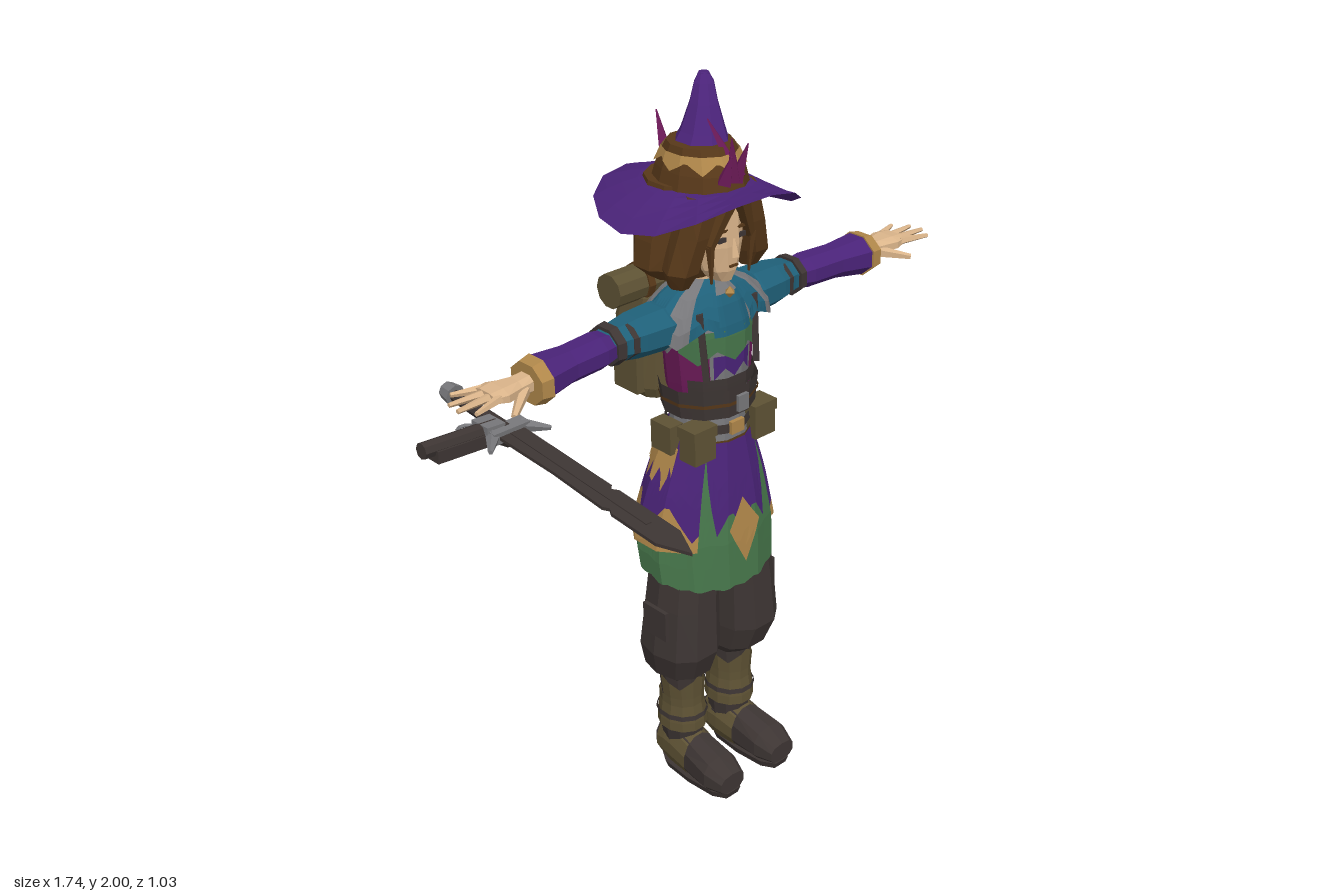
import * as THREE from 'three';

const mat = (name, color) => Object.assign(new THREE.MeshStandardMaterial({ color, side: THREE.DoubleSide }), { name });
const rad = Math.PI / 180;
const V = (a) => new THREE.Vector3(...a);
const lerp = THREE.MathUtils.lerp;
// triangle wave 0..1..0 over a period
const tri = (a, period) => 1 - Math.abs(((((a / period) % 1) + 1) % 1) * 2 - 1);
// cyclic axis swaps keep the winding
const turn = { y: (p) => p, x: ([x, y, z]) => [y, z, x], z: ([x, y, z]) => [z, x, y] };

// faceted grid: u runs to the right, v runs up, seen from outside
function grid(fn, nu, nv) {
  const out = [];
  const push = (a, b, c) => {
    const area = V(b).sub(V(a)).cross(V(c).sub(V(a))).length();
    if (area > 1e-9) out.push(...a, ...b, ...c);
  };
  for (let i = 0; i < nu; i++) for (let j = 0; j < nv; j++) {
    const a = fn(i, j), b = fn(i + 1, j), c = fn(i + 1, j + 1), d = fn(i, j + 1);
    push(a, b, c); push(a, c, d);
  }
  return new THREE.BufferGeometry().setAttribute('position', new THREE.Float32BufferAttribute(out, 3));
}
// ring corner; ring = [height, centre1, centre2, radius1, radius2]
function corner([t, cx, cz, rx, rz], ang, p = 1, off = 0) {
  const pw = (v) => Math.sign(v) * Math.abs(v) ** p;
  return [cx + (rx + off) * pw(Math.sin(ang)), t, cz + (rz + off) * pw(Math.cos(ang))];
}
// closed solid through rings
function loft(rings, N = 10, p = 1, axis = 'y') {
  const end = (r) => [r[0], r[1], r[2], 0, 0];
  const all = [end(rings[0]), ...rings, end(rings[rings.length - 1])];
  return grid((i, j) => turn[axis](corner(all[j], ((i % N) + 0.5) / N * 2 * Math.PI, p)), N, all.length - 1);
}
// painted strip lying on a ring surface, between two height rules
function band(rings, a0, a1, lo, hi, off = 0.005, axis = 'y', N = 12, rows = 4) {
  const val = (f, a) => (typeof f === 'function' ? f(a) : f);
  const n = Math.max(1, Math.round((a1 - a0) / 5));
  return grid((i, j) => {
    const a = a0 + (a1 - a0) * i / n, t = lerp(val(lo, a), val(hi, a), j / rows);
    let k = 0;
    while (k < rings.length - 2 && t > rings[k + 1][0]) k++;
    const f = (t - rings[k][0]) / (rings[k + 1][0] - rings[k][0]);
    const ring = rings[k].map((v, m) => lerp(v, rings[k + 1][m], f));
    const step = 360 / N, s = (a - step / 2) / step, q = Math.floor(s + 1e-6);
    const c0 = corner(ring, (q + 0.5) * step * rad, 1, off), c1 = corner(ring, (q + 1.5) * step * rad, 1, off);
    return turn[axis](c0.map((v, m) => lerp(v, c1[m], s - q)));
  }, n, rows);
}
function rod(p, q, r0, r1, n = 6) {
  const d = V(q).sub(V(p)), g = new THREE.CylinderGeometry(r1, r0, d.length(), n);
  g.applyQuaternion(new THREE.Quaternion().setFromUnitVectors(V([0, 1, 0]), d.clone().normalize()));
  return g.translate(...V(p).addScaledVector(d, 0).add(V(q)).multiplyScalar(0.5).toArray());
}
const box = (w, h, d, x, y, z) => new THREE.BoxGeometry(w, h, d).translate(x, y, z);
function plate(points, depth) {
  const s = new THREE.Shape(points.map(([x, y]) => new THREE.Vector2(x, y)));
  return new THREE.ExtrudeGeometry(s, { depth, bevelEnabled: false }).translate(0, 0, -depth / 2);
}
function add(parent, name, geo, material, mirror = false) {
  const g = geo.index ? geo.toNonIndexed() : geo;
  g.computeVertexNormals();
  const m = new THREE.Mesh(g, material);
  m.name = name;
  parent.add(m);
  if (!mirror) return;
  const h = g.clone().scale(-1, 1, 1), P = h.attributes.position;
  for (let i = 0; i < P.count; i += 3) {
    const a = [P.getX(i), P.getY(i), P.getZ(i)];
    P.setXYZ(i, P.getX(i + 1), P.getY(i + 1), P.getZ(i + 1));
    P.setXYZ(i + 1, ...a);
  }
  add(parent, name + 'Right', h, material);
}

export function createModel() {
  const purple = mat('purple cloth', 0x4a2378), teal = mat('teal cloth', 0x1f6079), green = mat('green cloth', 0x47774b);
  const gold = mat('gold trim', 0xb0874a), brown = mat('brown hair and leather', 0x573819), olive = mat('olive canvas', 0x5e5234);
  const dark = mat('dark leather', 0x3d3533), grey = mat('grey metal and cloth', 0x77777a), skin = mat('skin', 0xdab48a), magenta = mat('magenta cloth', 0x6c1a58);
  const root = new THREE.Group(), body = new THREE.Group();
  body.name = 'figure';
  body.position.x = 0.065;
  root.add(body);
  const put = (...a) => add(body, ...a);

  // boots, gaiters and baggy trousers
  const foot = [[-0.31, 0.075, 0.09, 0.05, 0.045], [-0.25, 0.08, 0.09, 0.08, 0.055], [-0.17, 0.068, 0.095, 0.066, 0.055],
    [-0.08, 0.06, 0.1, 0.052, 0.062], [-0.025, 0.05, 0.1, 0.03, 0.045]];
  put('boot', loft(foot, 10, 0.75, 'z'), dark, true);
  put('sole', loft([[0, 0.097, -0.16, 0.05, 0.135], [0.022, 0.097, -0.16, 0.057, 0.143]], 10, 0.7), dark, true);
  put('heelGuard', band(foot, 0, 360, -0.3, -0.17, 0.006, 'z'), olive, true);
  const shin = [[0.1, 0.09, -0.24, 0.054, 0.06], [0.17, 0.093, -0.24, 0.062, 0.07], [0.25, 0.093, -0.24, 0.052, 0.06], [0.36, 0.095, -0.24, 0.062, 0.068]];
  put('shin', loft(shin), dark, true);
  put('gaiter', band(shin, 0, 360, 0.16, 0.27, 0.007), olive, true);
  put('gaiterFront', band(shin, -100, 100, 0.26, (a) => 0.345 - 0.04 * tri(a, 100), 0.007), olive, true);
  put('gaiterStrap', band(shin, 0, 360, 0.2, 0.215, 0.012), dark, true);
  const pants = [[0.34, 0.097, -0.24, 0.06, 0.062], [0.37, 0.105, -0.235, 0.085, 0.098], [0.45, 0.112, -0.22, 0.1, 0.115],
    [0.6, 0.105, -0.215, 0.092, 0.103], [0.8, 0.085, -0.215, 0.082, 0.092]];
  put('trouserLeg', loft(pants, 10, 0.85), dark, true);
  put('trouserPatch', band(pants.map(([t, x, ...r]) => [t, -x, ...r]), 160, 200, 0.58, 0.66, 0.012), grey);
  put('trouserPocket', box(0.012, 0.09, 0.09, 0.203, 0.56, -0.215), dark, true);

  // green underskirt, purple overskirt with pointed gold hem
  const skirt = [[0.64, 0, -0.225, 0.204, 0.152], [0.8, 0, -0.242, 0.212, 0.164], [0.95, 0, -0.23, 0.172, 0.137], [1.1, 0, -0.22, 0.115, 0.107]];
  put('underskirt', band(skirt, 0, 360, (a) => 0.695 - 0.04 * Math.cos(a * rad) + 0.008 * tri(a, 20), 1.08, 0, 'y', 12, 6), green);
  const hem = (a) => 0.825 + 0.1 * tri(a - 40, 55);
  put('overskirt', band(skirt, 40, 320, hem, 1.1, 0.006, 'y', 12, 6), purple);
  put('goldHem', band(skirt, 40, 320, 0.795, hem, 0.006), gold);
  put('frontPanel', band(skirt, -25, 25, (a) => 0.83 + 0.07 * tri(a, 25), 1.09, 0.006), purple);
  put('frontPanelSide', band(skirt, 25, 40, (a) => lerp(0.83, 1.06, (a - 25) / 15), 1.09, 0.006), purple, true);
  put('frontGoldDrop', band(skirt, -15, 15, (a) => 0.73 + Math.abs(a) * 0.0075, (a) => 0.925 - Math.abs(a) * 0.0055, 0.01), gold);
  put('hipSash', band(skirt, 75, 285, (a) => 1.0 + 0.035 * tri(a, 15), 1.075, 0.011), gold);
  put('hipLeaf', band(skirt, 80, 130, (a) => 0.955 + 0.07 * tri(a, 17), 1.04, 0.012), gold, true);

  // torso and its coloured panels
  const torso = [[1.06, 0, -0.22, 0.115, 0.105], [1.15, 0, -0.215, 0.1, 0.092], [1.25, 0, -0.215, 0.113, 0.098],
    [1.4, 0, -0.215, 0.128, 0.1], [1.48, 0, -0.22, 0.105, 0.08], [1.51, 0, -0.22, 0.06, 0.055]];
  put('torso', loft(torso, 12), grey);
  put('chestGreen', band(torso, -75, 75, (a) => 1.315 + 0.035 * tri(a, 50), 1.405, 0.008), green);
  put('collarFront', band(torso, -28, 28, 1.39, 1.49, 0.01), teal);
  put('vestSide', band(torso, 35, 140, 1.22, (a) => 1.37 - 0.04 * tri(a, 40), 0.006), magenta, true);
  put('vestFront', band(torso, -30, 30, (a) => 1.27 + 0.03 * tri(a, 30), 1.335, 0.006), purple);
  put('vestBack', band(torso, 140, 220, 1.22, 1.47, 0.005), teal);
  put('corset', band(torso, 0, 360, 1.165, 1.245, 0.026), dark);
  put('corsetTop', band(torso, -65, 65, 1.235, 1.275, 0.014), dark);
  put('corsetTrim', band(torso, 0, 360, 1.2, 1.21, 0.03), brown);
  put('waistBelt', band(torso, 0, 360, 1.115, 1.14, 0.014), dark);
  put('hipBelt', band(torso, 0, 360, 1.055, 1.095, 0.012), brown);
  put('buckle', box(0.045, 0.035, 0.012, 0, 1.128, -0.107), gold);
  put('corsetBuckle', box(0.035, 0.045, 0.01, 0, 1.205, -0.085), grey);
  put('pouch', box(0.072, 0.075, 0.06, 0.108, 1.095, -0.14), olive, true);
  put('pouchFlap', box(0.08, 0.03, 0.066, 0.108, 1.14, -0.14), olive, true);
  put('sidePouch', box(0.045, 0.08, 0.075, 0.128, 1.1, -0.235), olive, true);
  put('packStrap', rod([0.088, 1.28, -0.125], [0.095, 1.46, -0.14], 0.012, 0.012, 4), dark, true);

  // capelet in teal and grey sectors
  const cape = [[1.36, 0, -0.225, 0.225, 0.12], [1.43, 0, -0.225, 0.205, 0.118], [1.485, 0, -0.225, 0.15, 0.09], [1.525, 0, -0.225, 0.06, 0.058]];
  const capeLow = (a) => 1.38 + 0.04 * tri(a, 50);
  [[15, 40, teal], [40, 65, grey], [65, 115, teal], [115, 140, grey], [140, 180, teal]].forEach(([a, b, m], i) =>
    put('capeletPanel' + i, band(cape, a, b, capeLow, 1.525, 0), m, true));
  put('capeClasp', new THREE.OctahedronGeometry(0.016).translate(0, 1.495, -0.13), gold);

  // arms, sleeves, cuffs
  put('upperArm', loft([[0.08, -0.23, 1.42, 0.06, 0.05], [0.16, -0.23, 1.42, 0.075, 0.062], [0.24, -0.232, 1.42, 0.068, 0.058], [0.29, -0.232, 1.42, 0.055, 0.05],
    [0.34, -0.23, 1.42, 0.05, 0.04]], 8, 1, 'x'), teal, true);
  for (const x of [0.265, 0.315]) put('armStrap', loft([[x - 0.012, -0.232, 1.42, 0.064, 0.055], [x + 0.012, -0.232, 1.42, 0.06, 0.052]], 8, 1, 'x'), dark, true);
  put('sleeve', loft([[0.325, -0.228, 1.42, 0.048, 0.04], [0.36, -0.226, 1.42, 0.056, 0.046], [0.46, -0.216, 1.42, 0.052, 0.046], [0.56, -0.207, 1.418, 0.066, 0.058]], 8, 1, 'x'), purple, true);
  put('cuff', loft([[0.552, -0.207, 1.418, 0.07, 0.061], [0.585, -0.205, 1.418, 0.064, 0.054]], 8, 1, 'x'), gold, true);
  put('palm', loft([[0.57, -0.208, 1.42, 0.03, 0.026], [0.62, -0.206, 1.42, 0.034, 0.022], [0.67, -0.205, 1.424, 0.05, 0.02], [0.705, -0.205, 1.427, 0.044, 0.013]], 8, 0.8, 'x'), skin, true);
  for (let i = 0; i < 4; i++) {
    const s = i - 1.5, len = [0.76, 0.793, 0.798, 0.775][i];
    put('finger', rod([0.69, 1.427, -0.205 + s * 0.023], [len, 1.428, -0.203 + s * 0.04], 0.012, 0.006, 5), skin, true);
  }
  put('thumb', rod([0.61, 1.415, -0.185], [0.685, 1.395, -0.125], 0.017, 0.008, 5), skin, true);

  // head, face and bobbed hair
  put('neck', rod([0, 1.47, -0.23], [0, 1.57, -0.23], 0.042, 0.04, 8), skin);
  const head = [[1.525, 0, -0.17, 0.025, 0.04], [1.555, 0, -0.185, 0.052, 0.066], [1.62, 0, -0.2, 0.075, 0.086], [1.75, 0, -0.21, 0.08, 0.09]];
  put('head', loft(head, 12), skin);
  put('nose', rod([0, 1.595, -0.108], [0, 1.64, -0.114], 0.012, 0.004, 4), skin);
  put('eye', box(0.026, 0.012, 0.006, 0.032, 1.642, -0.122), dark, true);
  put('brow', box(0.034, 0.007, 0.006, 0.033, 1.664, -0.122), brown, true);
  put('mouth', box(0.026, 0.005, 0.006, 0, 1.57, -0.116), brown);
  put('hair', loft([[1.525, 0, -0.275, 0.125, 0.085], [1.56, 0, -0.28, 0.165, 0.11], [1.63, 0, -0.28, 0.155, 0.115], [1.77, 0, -0.27, 0.115, 0.115]], 12), brown);
  put('hairLock', loft([[1.525, 0.118, -0.19, 0.022, 0.03], [1.57, 0.12, -0.18, 0.042, 0.05], [1.66, 0.095, -0.17, 0.04, 0.055], [1.76, 0.06, -0.16, 0.05, 0.05]], 6), brown, true);
  put('fringe', rod([0.02, 1.745, -0.112], [0.07, 1.63, -0.128], 0.024, 0.012, 5), brown, true);
  put('strand', rod([0.07, 1.64, -0.125], [0.064, 1.535, -0.128], 0.012, 0.003, 4), brown, true);

  // pointed hat: drooping brim, leather crown, bent cone
  const brim = grid((i, j) => {
    const a = i / 16 * 2 * Math.PI, t = j / 4, s = Math.sin(a), c = Math.cos(a), x = s * lerp(0.25, 0.1, t), k = (1 - t) ** 1.5;
    return [x + 0.004, 1.765 + k * (c * c * (c > 0 ? 0.02 : -0.035) - s * s * 0.1) - 0.07 * x * (1 - t), -0.25 + c * lerp(0.265, 0.12, t)];
  }, 16, 4);
  put('hatBrim', brim, purple);
  const crown = [[1.745, 0.004, -0.238, 0.115, 0.138], [1.8, 0.006, -0.238, 0.102, 0.122], [1.86, 0.008, -0.24, 0.08, 0.088]];
  put('hatCrown', loft(crown, 12), brown);
  put('hatBand', band(crown, 0, 360, (a) => 1.805 + 0.025 * tri(a, 45), 1.845, 0.006), gold);
  put('hatCone', loft([[1.83, 0.008, -0.24, 0.082, 0.085], [1.88, 0.025, -0.248, 0.058, 0.06], [1.94, 0.045, -0.265, 0.036, 0.038],
    [1.98, 0.065, -0.285, 0.026, 0.026], [2, 0.078, -0.3, 0.013, 0.012]], 8), purple);
  put('hatTip', rod([0.07, 1.98, -0.285], [0.115, 1.965, -0.362], 0.022, 0.003, 6), purple);
  [[-0.02, 1.9, -0.1, 0], [0.015, 1.885, -0.08, 0.01], [0, 1.92, -0.205, 0.02], [-0.03, 1.86, -0.09, -0.03], [0.005, 1.9, -0.395, 0]].forEach(([x, y, z, bx], i) =>
    put('hatFeather' + i, rod([bx, 1.79, z < -0.3 ? -0.355 : -0.115], [x, y, z], 0.022, 0.002, 4), magenta));

  // backpack and bedroll
  put('pack', loft([[1.17, 0, -0.365, 0.115, 0.07], [1.2, 0, -0.37, 0.128, 0.085], [1.4, 0, -0.365, 0.122, 0.08], [1.46, 0, -0.36, 0.1, 0.06]], 12, 0.5), olive);
  put('packFlap', loft([[1.37, 0, -0.372, 0.13, 0.088], [1.45, 0, -0.365, 0.118, 0.074]], 12, 0.5), olive);
  put('packPocket', box(0.15, 0.12, 0.04, 0, 1.265, -0.458), olive);
  put('packPocketFlap', box(0.16, 0.04, 0.046, 0, 1.325, -0.458), olive);
  put('packSidePocket', box(0.035, 0.12, 0.09, 0.13, 1.25, -0.37), olive, true);
  put('packBuckle', box(0.018, 0.16, 0.008, 0.06, 1.38, -0.46), brown, true);
  put('bedroll', rod([-0.2, 1.485, -0.36], [0.2, 1.485, -0.36], 0.046, 0.046, 10), olive);
  put('bedrollStrap', rod([0.085, 1.485, -0.36], [0.105, 1.485, -0.36], 0.051, 0.051, 10), brown, true);

  // notched sword, lying forward
  const sword = new THREE.Group();
  sword.name = 'sword';
  sword.position.set(-0.66, 1.385, -0.1);
  sword.rotation.x = 0.09;
  root.add(sword);
  const edge = [[-0.035, 0], [0.035, 0], [0.035, 0.32], [0.024, 0.33], [0.035, 0.345], [0.035, 0.54], [0, 0.615], [-0.035, 0.54], [-0.035, 0.4], [-0.026, 0.385], [-0.035, 0.37], [-0.03, 0.2]];
  add(sword, 'blade', plate(edge, 0.008).rotateX(Math.PI / 2), dark);
  add(sword, 'fuller', box(0.014, 0.013, 0.46, 0, 0, 0.25), dark);
  add(sword, 'guard', box(0.1, 0.03, 0.035, 0, 0, 0), grey);
  add(sword, 'guardArm', rod([0.04, 0, 0], [0.085, 0, 0.05], 0.018, 0.006, 5), grey, true);
  add(sword, 'grip', rod([0, 0, -0.2], [0, 0, 0], 0.015, 0.018, 8), dark);
  add(sword, 'pommel', rod([0, 0, -0.23], [0, 0, -0.195], 0.022, 0.027, 8), grey);

  // flintlock pistol, pointing outward
  const pistol = new THREE.Group();
  pistol.name = 'pistol';
  pistol.position.set(-0.75, 1.385, -0.13);
  pistol.rotation.z = -0.06;
  root.add(pistol);
  add(pistol, 'barrel', rod([-0.122, 0.008, 0], [0.08, 0.008, 0], 0.02, 0.02, 8), dark);
  add(pistol, 'stock', box(0.17, 0.03, 0.05, -0.01, -0.008, 0), dark);
  add(pistol, 'lock', box(0.05, 0.03, 0.06, 0.06, 0.012, 0), grey);
  add(pistol, 'pistolGrip', rod([0.07, 0, 0], [0.115, -0.032, 0.01], 0.026, 0.02, 6), dark);
  add(pistol, 'triggerGuard', new THREE.TorusGeometry(0.022, 0.005, 4, 10).rotateX(Math.PI / 2).translate(0.03, 0, -0.04), grey);
  return root;
}
